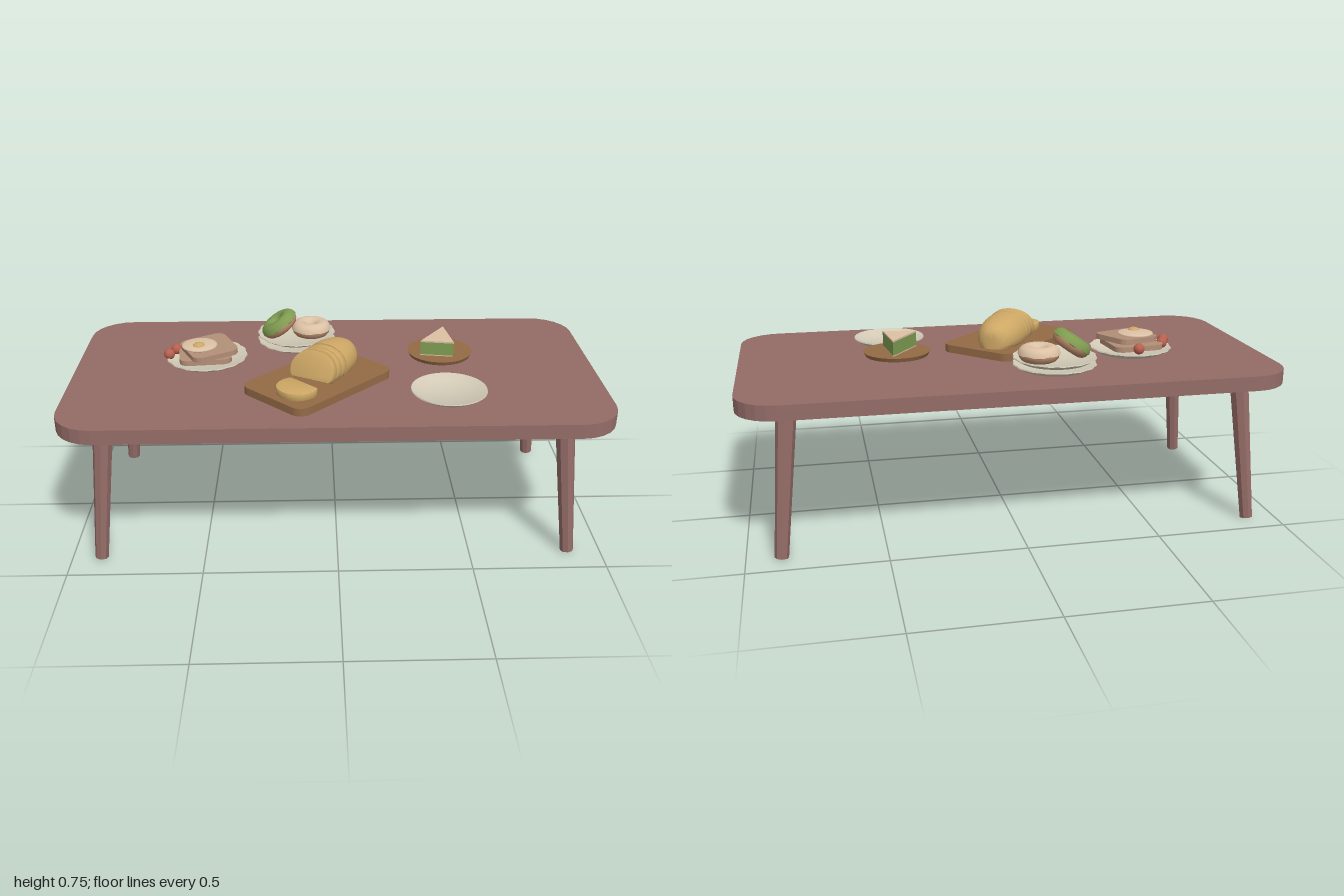
import * as THREE from 'three';
import { toCreasedNormals } from 'three/addons/utils/BufferGeometryUtils.js';

const mat = (color, flatShading = false) => new THREE.MeshStandardMaterial({ color, flatShading });
const thin = (color) => new THREE.MeshStandardMaterial({ color, side: THREE.DoubleSide });
const WOOD = mat(0x946c67, true);
const BOARD = mat(0x936a45);
const CHINA = thin(0xd3cbb7);
const CRUST = mat(0xcda765);
const TOAST = mat(0xb38f78);
const GREEN = mat(0x7f9c50);
const DOUGH = mat(0xb98a69);
const CREAM = mat(0xdcc1a4);
const BERRY = mat(0xb9604f);

function add(parent, name, geometry, material, x = 0, y = 0, z = 0) {
  const mesh = new THREE.Mesh(geometry, material);
  mesh.name = name;
  mesh.position.set(x, y, z);
  parent.add(mesh);
  return mesh;
}

function group(parent, name, x, y, z, yaw = 0) {
  const g = new THREE.Group();
  g.name = name;
  g.position.set(x, y, z);
  g.rotation.y = yaw;
  parent.add(g);
  return g;
}

// Flat slab with rounded corners, lying on y = 0
function slab(w, d, h, r, segments) {
  const a = w / 2 - r, b = d / 2 - r, s = new THREE.Shape();
  s.absarc(a, b, r, 0, Math.PI / 2);
  s.absarc(-a, b, r, Math.PI / 2, Math.PI);
  s.absarc(-a, -b, r, Math.PI, Math.PI * 1.5);
  s.absarc(a, -b, r, Math.PI * 1.5, Math.PI * 2);
  const g = new THREE.ExtrudeGeometry(s, { depth: h, bevelEnabled: false, curveSegments: segments });
  return toCreasedNormals(g.rotateX(-Math.PI / 2), 0.6);
}

// Dish with a raised rim; scallop waves the rim
function dish(r, h, scallop = 0) {
  const p = [[0, 0], [0.66, 0], [0.82, 0.25], [1, 0.85], [0.99, 1], [0.94, 0.95], [0.75, 0.45], [0, 0.35]]
    .map(([x, y]) => new THREE.Vector2(x * r, y * h));
  const g = new THREE.LatheGeometry(p, 64), pos = g.attributes.position;
  for (let i = 0; i < pos.count; i++) {
    const x = pos.getX(i), z = pos.getZ(i);
    if (Math.hypot(x, z) < 0.9 * r) continue;
    const k = 1 + scallop * Math.cos(16 * Math.atan2(z, x));
    pos.setX(i, x * k);
    pos.setZ(i, z * k);
  }
  return toCreasedNormals(g, 0.7);
}

// Domed loaf cross-section with its base on y = 0
function loafShape(w, h) {
  const s = new THREE.Shape(), a = w / 2;
  s.moveTo(-a * 0.85, 0);
  s.lineTo(a * 0.85, 0);
  s.bezierCurveTo(a * 1.1, h * 0.15, a * 1.05, h, 0, h);
  s.bezierCurveTo(-a * 1.05, h, -a * 1.1, h * 0.15, -a * 0.85, 0);
  return s;
}

function breadSlice(w, h, t) {
  const b = 0.004;
  const g = new THREE.ExtrudeGeometry(loafShape(w - 2 * b, h - 2 * b), {
    depth: t - 2 * b, bevelThickness: b, bevelSize: b, bevelSegments: 2, curveSegments: 14,
  });
  return toCreasedNormals(g.translate(0, b, b), 0.7);
}

// Loaf end: the cross-section shrinks to a blunt tip along +z
function loafEnd(w, h, length) {
  const g = new THREE.ExtrudeGeometry(loafShape(w, h), { depth: 1, steps: 16, bevelEnabled: false, curveSegments: 14 });
  const pos = g.attributes.position;
  for (let i = 0; i < pos.count; i++) {
    const a = pos.getZ(i) * Math.PI / 2;
    const k = Math.max(0.02, Math.cos(a) ** 0.65);
    pos.setXYZ(i, pos.getX(i) * k, pos.getY(i) * (0.3 + 0.7 * k), Math.sin(a) * length);
  }
  return toCreasedNormals(g, 0.8);
}

function donut(parent, name, icing, x, y, z) {
  const g = group(parent, name, x, y, z);
  add(g, 'dough', new THREE.TorusGeometry(0.047, 0.029, 14, 32).rotateX(Math.PI / 2), DOUGH);
  // Icing covers the upper half, with a wavy lower edge
  const top = new THREE.TorusGeometry(0.047, 0.032, 14, 40).rotateX(Math.PI / 2), pos = top.attributes.position;
  for (let i = 0; i < pos.count; i++) {
    const edge = 0.003 * Math.sin(6 * Math.atan2(pos.getZ(i), pos.getX(i)));
    pos.setY(i, Math.max(pos.getY(i), edge));
  }
  top.computeVertexNormals();
  add(g, 'icing', top, icing);
  return g;
}

export function createModel() {
  const model = new THREE.Group();
  model.name = 'servedTable';

  // Table
  add(model, 'tableTop', slab(2, 1.01, 0.055, 0.15, 3), WOOD, 0, 0.545, 0);
  for (const sx of [-1, 1]) for (const sz of [-1, 1]) {
    const top = new THREE.Vector3(sx * 0.833 - 0.008, 0.55, sz * 0.345 - 0.008);
    const foot = new THREE.Vector3(sx * 0.883 - 0.008, 0.003, sz * 0.394 - 0.008);
    const axis = top.clone().sub(foot);
    const leg = add(model, 'leg', new THREE.CylinderGeometry(0.037, 0.025, axis.length(), 8), WOOD);
    leg.position.copy(top).add(foot).multiplyScalar(0.5);
    leg.quaternion.setFromUnitVectors(new THREE.Vector3(0, 1, 0), axis.normalize());
  }

  // Toast plate with egg and berries
  const breakfast = group(model, 'toastPlate', -0.5, 0.6, -0.083);
  add(breakfast, 'plate', dish(0.157, 0.028, 0.015), CHINA);
  add(breakfast, 'lowerToast', slab(0.2, 0.2, 0.02, 0.035, 6), TOAST, -0.005, 0.026, 0.005).rotation.y = 0.1;
  const upper = add(breakfast, 'upperToast', slab(0.185, 0.185, 0.02, 0.035, 6), TOAST, 0.012, 0.05, 0.012);
  upper.rotation.set(0.03, 0.45, 0.03);
  add(breakfast, 'eggWhite', new THREE.SphereGeometry(0.07, 28, 10).scale(1, 0.14, 1), CREAM, -0.025, 0.073, 0.015);
  add(breakfast, 'eggYolk', new THREE.SphereGeometry(0.023, 20, 12).scale(1, 0.5, 1), CRUST, -0.025, 0.08, 0.035);
  for (const [x, z] of [[0, -0.107], [-0.12, -0.027], [-0.143, 0.023]]) {
    add(breakfast, 'berry', new THREE.SphereGeometry(0.021, 18, 12), BERRY, x, 0.04, z);
  }

  // Two stacked plates with donuts
  const donuts = group(model, 'donutPlates', -0.15, 0.6, -0.258);
  add(donuts, 'lowerPlate', dish(0.155, 0.026, 0.015), CHINA);
  add(donuts, 'upperPlate', dish(0.155, 0.026, 0.015), CHINA, 0, 0.025, 0);
  donut(donuts, 'flatDonut', CREAM, 0.06, 0.063, -0.004);
  donut(donuts, 'leaningDonut', GREEN, -0.067, 0.09, 0.018).rotation.z = 0.6;

  // Cutting board and sliced loaf
  const board = group(model, 'cuttingBoard', -0.067, 0.6, 0.145, Math.PI / 4);
  add(board, 'board', slab(0.5, 0.32, 0.03, 0.045, 6), BOARD);
  const loaf = group(model, 'loaf', -0.037, 0.63, 0.096, -Math.PI / 6);
  add(loaf, 'loafEnd', loafEnd(0.185, 0.11, 0.165), CRUST).rotation.y = Math.PI;
  [[0.004, -0.06], [0.045, -0.2], [0.092, -0.42]].forEach(([z, tilt]) => {
    add(loaf, 'slice', breadSlice(0.185, 0.108, 0.034), CRUST, 0, 0, z).rotation.x = tilt;
  });
  const lying = breadSlice(0.16, 0.11, 0.028).rotateX(-Math.PI / 2);
  add(model, 'lyingSlice', lying, CRUST, -0.118, 0.63, 0.256).rotation.y = Math.PI * 0.75;

  // Round board with a sandwich wedge
  const wedge = group(model, 'sandwichBoard', 0.41, 0.633, -0.055);
  add(wedge, 'roundBoard', toCreasedNormals(new THREE.CylinderGeometry(0.125, 0.118, 0.015, 40), 0.6), BOARD, 0, 0.0075, 0);
  const corners = [[0.023, 0.095], [-0.08, -0.05], [0.045, -0.071]].map(([x, y]) => new THREE.Vector2(x, y));
  const layer = (h) => new THREE.ExtrudeGeometry(new THREE.Shape(corners), { depth: h, bevelEnabled: false }).rotateX(-Math.PI / 2);
  add(wedge, 'lowerBread', layer(0.005), CREAM, 0, 0.014, 0);
  add(wedge, 'filling', layer(0.05), GREEN, 0, 0.019, 0);
  add(wedge, 'upperBread', layer(0.006), CREAM, 0, 0.069, 0);

  // Empty dish
  add(model, 'emptyDish', dish(0.14, 0.028), CHINA, 0.41, 0.6, 0.257);

  return model;
}
